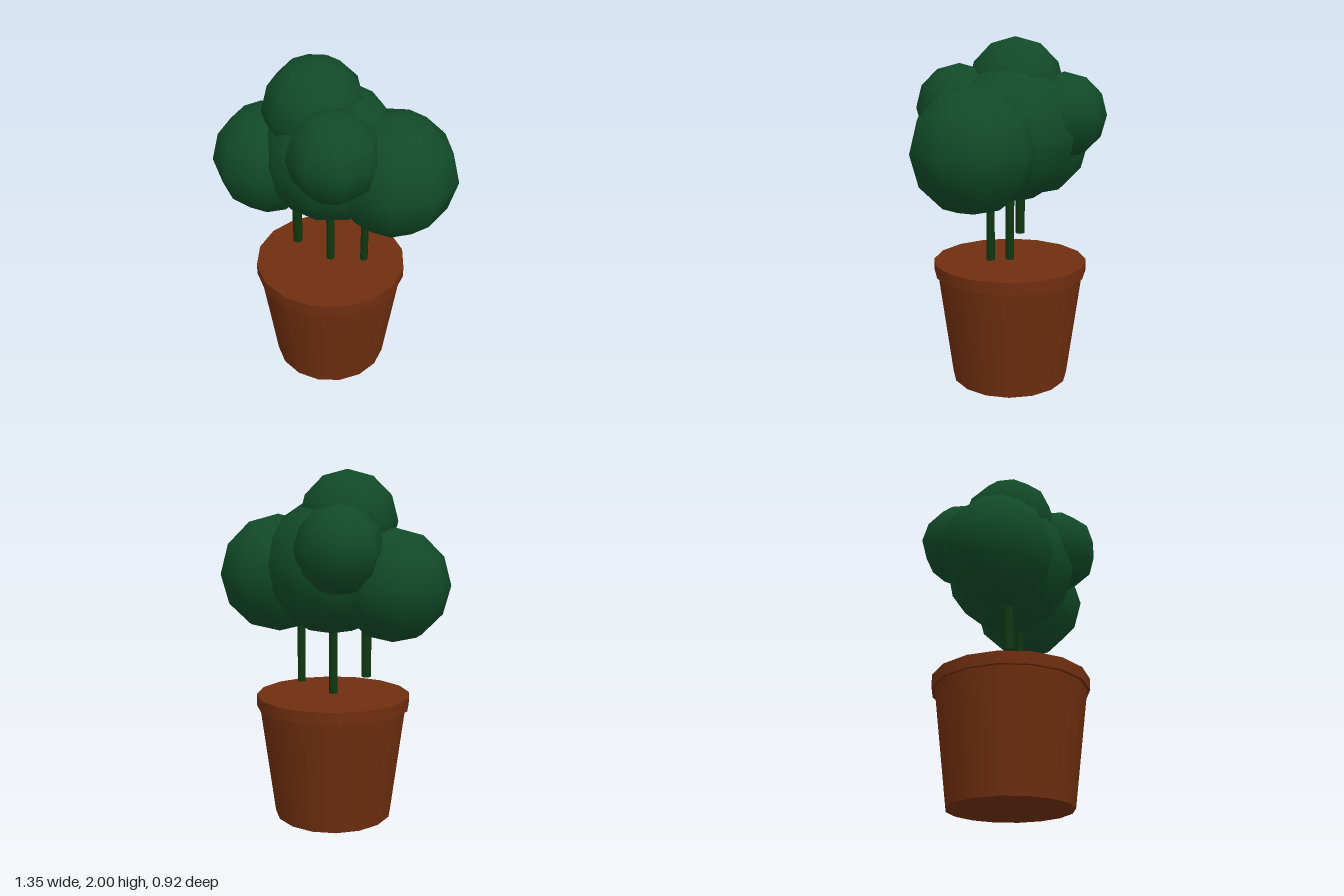
import * as THREE from 'three';

export function createModel() {
  const group = new THREE.Group();
  const terracotta = new THREE.MeshStandardMaterial({ name: 'terracotta', color: 0x702e0f });
  const leafGreen = new THREE.MeshStandardMaterial({ name: 'leafGreen', color: 0x114a28 });
  const stemGreen = new THREE.MeshStandardMaterial({ name: 'stemGreen', color: 0x0f3811 });

  function add(name, geometry, material, x, y, z) {
    const mesh = new THREE.Mesh(geometry, material);
    mesh.name = name;
    mesh.position.set(x, y, z);
    group.add(mesh);
  }

  // vertical cylinder from y0 to y1
  function column(name, material, x, z, y0, y1, rTop, rBottom, sides) {
    add(name, new THREE.CylinderGeometry(rTop, rBottom, y1 - y0, sides), material, x, (y0 + y1) / 2, z);
  }

  // tapered pot with a straight, filled rim
  column('potBody', terracotta, -0.015, -0.015, 0, 0.65, 0.43, 0.345, 16);
  column('potRim', terracotta, -0.015, -0.015, 0.65, 0.72, 0.447, 0.447, 16);

  // stems: the outer two hang from their leaf clumps
  column('centreStem', stemGreen, -0.015, -0.015, 0.7, 1.3, 0.025, 0.025, 8);
  column('rightStem', stemGreen, -0.19, 0.075, 0.83, 1.3, 0.028, 0.028, 8);
  column('leftStem', stemGreen, 0.19, -0.07, 0.77, 1.3, 0.023, 0.023, 8);

  // leaf clumps: name, radius, sides, rings, x, y, z
  const clumps = [
    ['centreLeaves', 0.39, 10, 8, -0.01, 1.465, -0.02],
    ['topLeaves', 0.285, 9, 6, -0.09, 1.715, 0.02],
    ['rightLeaves', 0.317, 9, 6, -0.36, 1.365, 0.1],
    ['leftLeaves', 0.347, 9, 6, 0.345, 1.41, -0.1],
    ['frontLeaves', 0.249, 8, 6, 0.165, 1.605, 0.208],
    ['backLeaves', 0.243, 8, 6, -0.242, 1.565, -0.22],
  ];
  for (const [name, r, sides, rings, x, y, z] of clumps) {
    add(name, new THREE.SphereGeometry(r, sides, rings), leafGreen, x, y, z);
  }
  return group;
}
